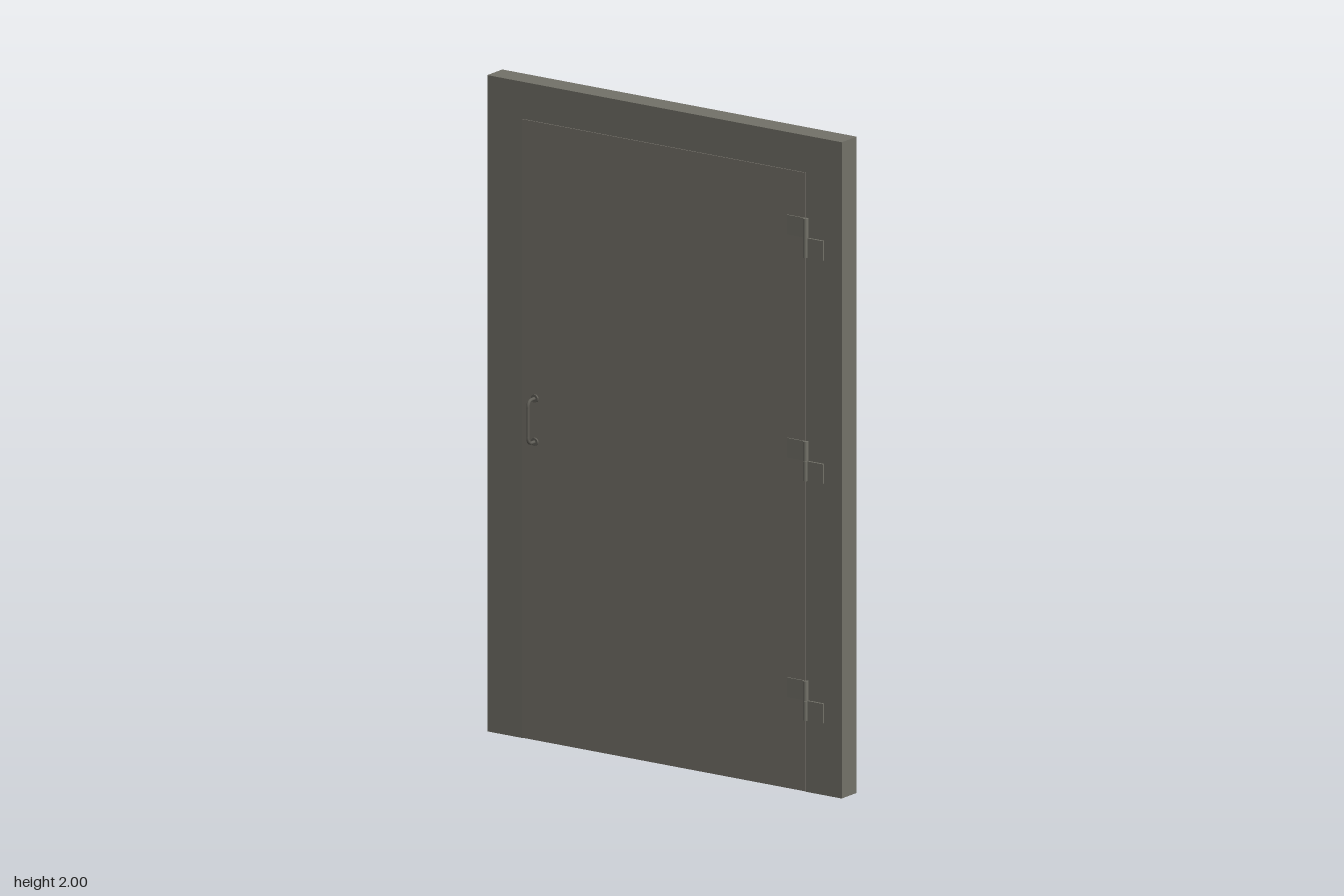
import * as THREE from 'three';

const paint = new THREE.MeshStandardMaterial({ name: 'frame paint', color: 0x737269, side: THREE.DoubleSide });
const doorPaint = new THREE.MeshStandardMaterial({ name: 'door paint', color: 0x77736b });
const steel = new THREE.MeshStandardMaterial({ name: 'handle steel', color: 0x615f58 });

function add(parent, name, geometry, material, x = 0, y = 0, z = 0) {
  const mesh = new THREE.Mesh(geometry, material);
  mesh.name = name;
  mesh.position.set(x, y, z);
  parent.add(mesh);
  return mesh;
}

// U-shaped hollow frame, open under the jambs
function frameGeometry(w, h, openW, openH, zBack, zFront) {
  const shape = new THREE.Shape([
    [-w, 0], [-openW, 0], [-openW, openH], [openW, openH],
    [openW, 0], [w, 0], [w, h], [-w, h],
  ].map(([x, y]) => new THREE.Vector2(x, y)));
  const geo = new THREE.ExtrudeGeometry(shape, { depth: zFront - zBack, bevelEnabled: false }).toNonIndexed();
  geo.translate(0, 0, zBack);
  const p = geo.attributes.position;
  const kept = [];
  for (let i = 0; i < p.count; i += 3) {
    const isBottom = [0, 1, 2].every((k) => Math.abs(p.getY(i + k)) < 1e-6);
    if (!isBottom) kept.push(i, i + 1, i + 2);
  }
  geo.clearGroups();
  geo.setIndex(kept);
  return geo;
}

// Rounded pull handle with a rosette at each foot; side is +1 front, -1 back
function makeHandle(side) {
  const handle = new THREE.Group();
  handle.name = side > 0 ? 'frontHandle' : 'backHandle';
  const base = 0.036, reach = 0.078, top = 0.066, r = 0.022;
  const v = (y, z) => new THREE.Vector3(0, y, z * side);
  const path = new THREE.CurvePath();
  path.add(new THREE.LineCurve3(v(top, base), v(top, reach - r)));
  path.add(new THREE.QuadraticBezierCurve3(v(top, reach - r), v(top, reach), v(top - r, reach - 0.002)));
  path.add(new THREE.LineCurve3(v(top - r, reach - 0.002), v(r - top, reach - 0.002)));
  path.add(new THREE.QuadraticBezierCurve3(v(r - top, reach - 0.002), v(-top, reach), v(-top, reach - r)));
  path.add(new THREE.LineCurve3(v(-top, reach - r), v(-top, base)));
  add(handle, 'grip', new THREE.TubeGeometry(path, 48, 0.005, 10), steel);
  for (const y of [-top, top]) {
    const rosette = add(handle, 'rosette', new THREE.CylinderGeometry(0.012, 0.012, 0.008, 20), steel, 0, y, side * 0.041);
    rosette.rotation.x = Math.PI / 2;
  }
  handle.position.set(-0.463, 0.978, 0);
  return handle;
}

// Two offset leaves meeting at a vertical knuckle
function makeHinge(y) {
  const hinge = new THREE.Group();
  hinge.name = 'hinge';
  add(hinge, 'doorLeaf', new THREE.BoxGeometry(0.067, 0.06, 0.004), paint, -0.0335, 0.03, 0);
  add(hinge, 'frameLeaf', new THREE.BoxGeometry(0.062, 0.06, 0.007), paint, 0.031, -0.03, -0.0015);
  for (const s of [-1, 1]) {
    add(hinge, 'knuckle', new THREE.CylinderGeometry(0.008, 0.008, 0.0595, 16), paint, 0, s * 0.03, 0.001);
  }
  hinge.position.set(0.513, y, 0.0415);
  return hinge;
}

export function createModel() {
  const model = new THREE.Group();
  model.name = 'door';

  add(model, 'frame', frameGeometry(0.638, 2, 0.51, 1.885, -0.04, 0.036), paint);

  // Door slab flush with the back of the frame, with a slightly proud front skin
  add(model, 'doorSlab', new THREE.BoxGeometry(1.018, 1.88, 0.075), paint, 0, 0.943, -0.003);
  add(model, 'doorFront', new THREE.BoxGeometry(1.02, 1.885, 0.005), doorPaint, 0, 0.9445, 0.0368);

  for (const side of [1, -1]) model.add(makeHandle(side));
  for (const y of [0.28, 1.01, 1.69]) model.add(makeHinge(y));

  return model;
}
